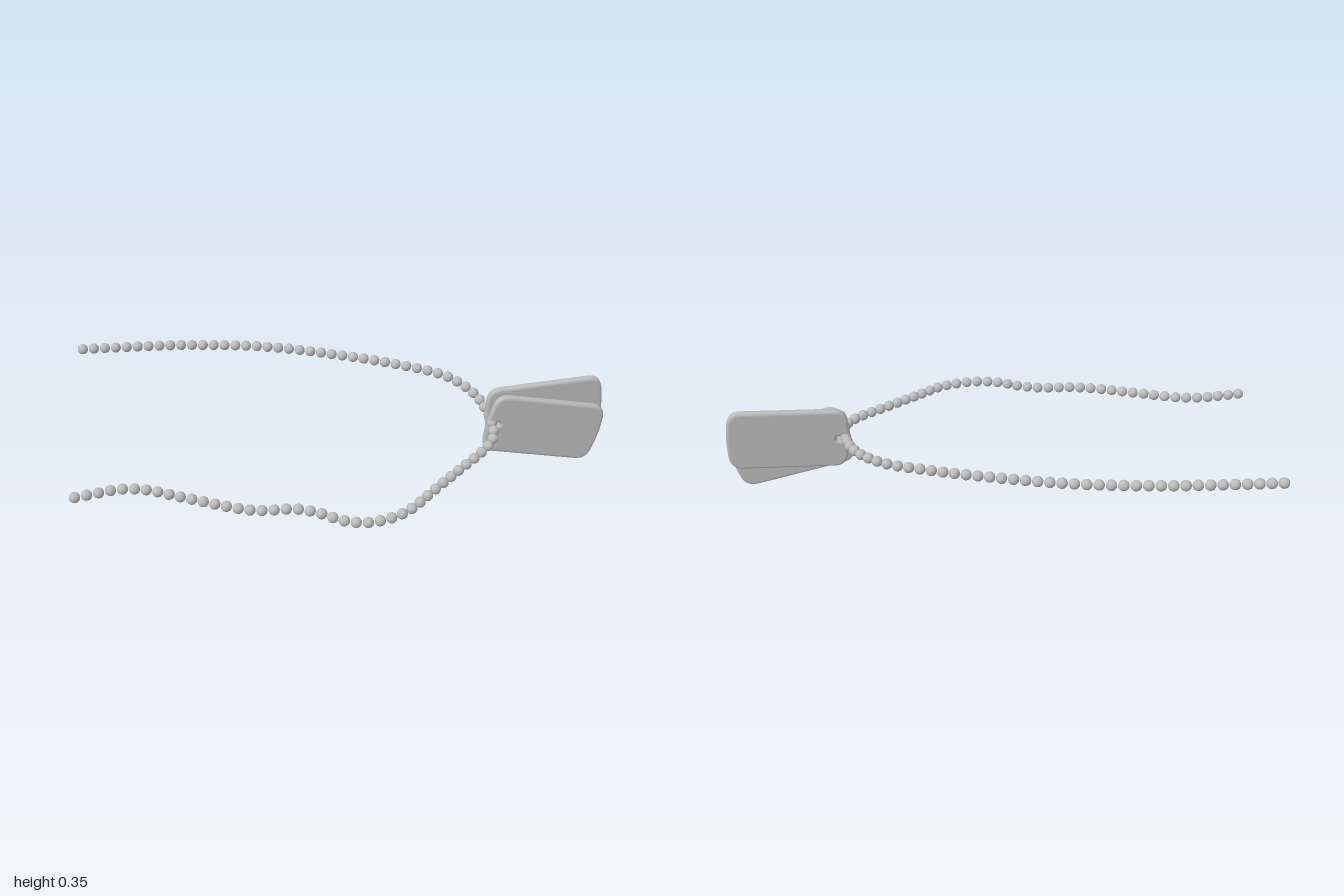
import * as THREE from 'three';
import { mergeGeometries, toCreasedNormals } from 'three/addons/utils/BufferGeometryUtils.js';

const steel = new THREE.MeshStandardMaterial({ color: 0xbbbbbb });
steel.name = 'steel grey';

// Rounded plate with softened rim and a small hole for the chain
function makeTag(name, x, y, z, yaw, roll, holeX, holeY) {
  const bevel = 0.012, w = 0.226 - bevel, h = 0.124 - bevel, r = 0.045;
  const s = new THREE.Shape();
  s.moveTo(-w + r, -h);
  s.lineTo(w - r, -h);
  s.quadraticCurveTo(w - 0.008, -h, w - 0.004, -h + r);
  s.quadraticCurveTo(w + 0.004, 0, w - 0.004, h - r);
  s.quadraticCurveTo(w - 0.008, h, w - r, h);
  s.lineTo(-w + r, h);
  s.quadraticCurveTo(-w + 0.008, h, -w + 0.004, h - r);
  s.quadraticCurveTo(-w - 0.004, 0, -w + 0.004, -h + r);
  s.quadraticCurveTo(-w + 0.008, -h, -w + r, -h);
  const hole = new THREE.Path();
  hole.absarc(holeX, holeY, 0.022, 0, Math.PI * 2, true);
  s.holes.push(hole);
  const depth = 0.008;
  const geo = new THREE.ExtrudeGeometry(s, {
    depth, bevelEnabled: true, bevelThickness: 0.01, bevelSize: bevel, bevelSegments: 4, curveSegments: 18,
  });
  geo.translate(0, 0, -depth / 2);
  // a tight crease angle keeps the broad faces flat
  const tag = new THREE.Mesh(toCreasedNormals(geo, 0.13), steel);
  tag.name = name;
  tag.position.set(x, y, z);
  tag.rotation.set(0, yaw, roll);
  return tag;
}

// Ball chain: path in plan (x, z), lying in one gently tilted plane
function makeChain() {
  const plan = [
    [-0.98, -0.482], [-0.8, -0.482], [-0.6, -0.478], [-0.35, -0.457], [-0.2, -0.432], [0, -0.382],
    [0.2, -0.322], [0.4, -0.243], [0.47, -0.188], [0.52, -0.12], [0.545, -0.05], [0.557, 0.01],
    [0.56, 0.07], [0.55, 0.112], [0.515, 0.16], [0.4, 0.26], [0.3, 0.345], [0.2, 0.432],
    [0.13, 0.465], [0.04, 0.48], [-0.04, 0.465], [-0.12, 0.425], [-0.2, 0.4], [-0.33, 0.397],
    [-0.41, 0.38], [-0.6, 0.315], [-0.73, 0.27], [-0.82, 0.261], [-0.91, 0.275], [-0.98, 0.288],
  ];
  const curve = new THREE.CatmullRomCurve3(
    plan.map(([x, z]) => new THREE.Vector3(x, 0.211 - 0.175 * z, z)), false, 'centripetal');
  const count = Math.round(curve.getLength() / 0.0428);
  const bead = new THREE.SphereGeometry(0.02, 16, 12);
  const beads = curve.getSpacedPoints(count).map(p => bead.clone().translate(p.x, p.y, p.z));
  const chain = new THREE.Mesh(mergeGeometries(beads), steel);
  chain.name = 'ballChain';
  return chain;
}

export function createModel() {
  const model = new THREE.Group();
  model.name = 'tagNecklace';
  model.add(
    makeChain(),
    makeTag('frontTag', 0.761, 0.159, 0.015, 0.07, -0.22, -0.186, 0.0),
    makeTag('backTag', 0.765, 0.217, -0.02, 0.07, 0.045, -0.186, 0.0),
  );
  return model;
}
